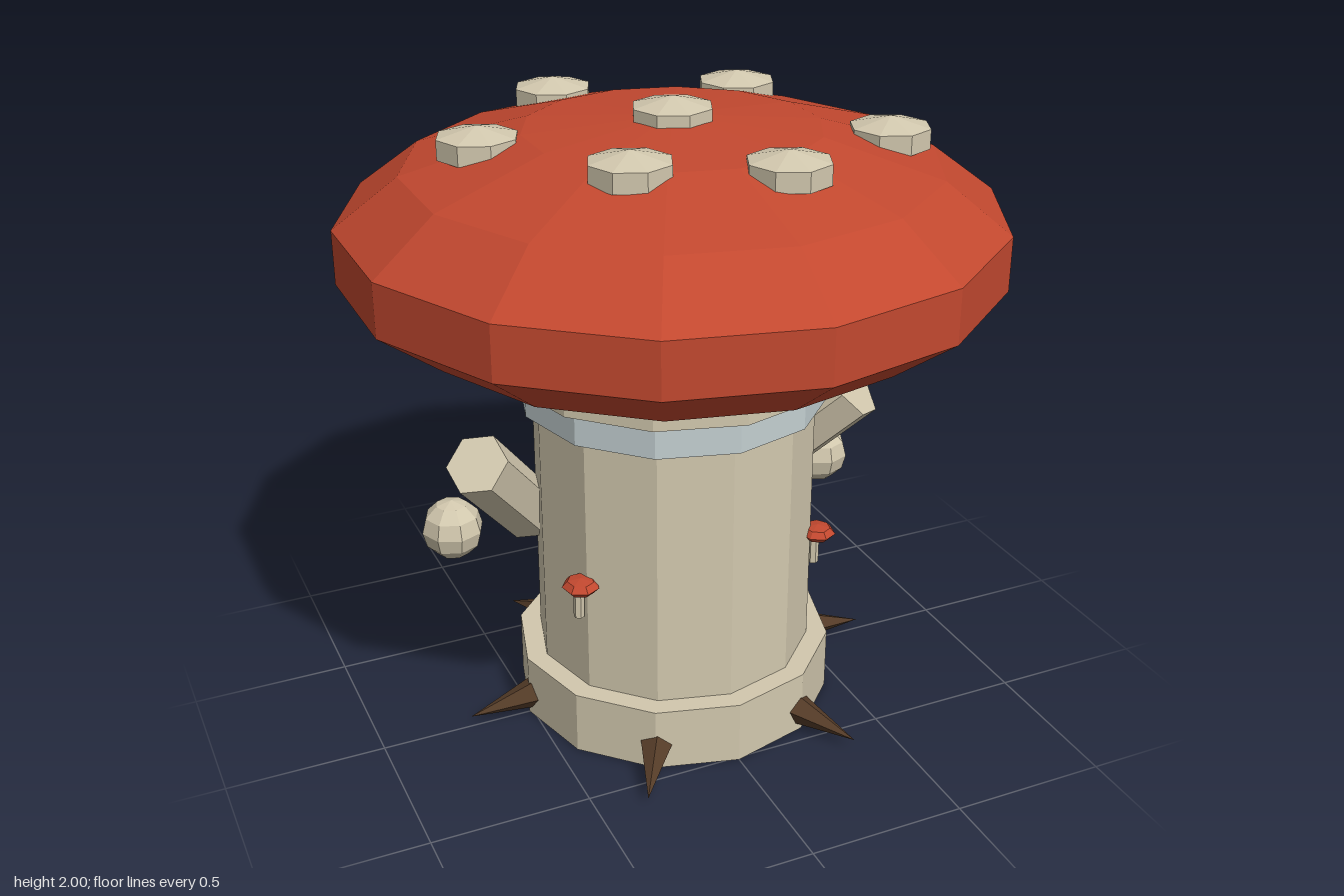
import * as THREE from 'three';

const mat = (name, color) => {
  const m = new THREE.MeshStandardMaterial({ color, flatShading: true });
  m.name = name;
  return m;
};

export function createModel() {
  const cream = mat('cream', 0xd2c8ae);
  const red = mat('cap red', 0xc2482f);
  const steel = mat('pale steel', 0xc3cfd1);
  const brown = mat('thorn brown', 0x553c28);
  const gold = mat('eye gold', 0xa0933c);
  const black = mat('dark navy', 0x1b1c28);

  const model = new THREE.Group();
  model.name = 'mushroomCreature';

  const add = (name, geo, material, x = 0, y = 0, z = 0) => {
    const mesh = new THREE.Mesh(geo, material);
    mesh.name = name;
    mesh.position.set(x, y, z);
    model.add(mesh);
    return mesh;
  };
  const drum = (name, r, y0, y1, material) =>
    add(name, new THREE.CylinderGeometry(r, r, y1 - y0, 12), material, 0, (y0 + y1) / 2, 0);
  const ball = (rx, ry, rz, w, h) =>
    new THREE.SphereGeometry(1, w, h).rotateY(Math.PI / 2).scale(rx, ry, rz);
  // Turns a mesh built along +y so that it runs from one point to another
  const aim = (mesh, from, to) => {
    mesh.position.copy(from).add(to).multiplyScalar(0.5);
    mesh.quaternion.setFromUnitVectors(new THREE.Vector3(0, 1, 0), to.clone().sub(from).normalize());
  };

  // Trunk, foot and neck rings
  drum('base', 0.512, 0, 0.205, cream);
  drum('trunk', 0.445, 0.1, 1.27, cream);
  drum('collar', 0.485, 1.065, 1.16, steel);
  drum('neckRing', 0.53, 1.175, 1.23, cream);
  add('collarTab', new THREE.BoxGeometry(0.12, 0.065, 0.06), steel, 0.18, 1.108, -0.457);

  // Cap
  add('cap', ball(1.026, 0.371, 1.026, 14, 7), red, 0, 1.573, 0);

  // Cap spots, sinking with distance from the middle
  const spots = [[0, 0], [-0.14, -0.62], [0.41, -0.415], [-0.55, -0.14],
    [-0.275, 0.335], [0.135, 0.475], [0.615, 0.2]];
  for (const [x, z] of spots) {
    add('capSpot', ball(0.142, 0.06, 0.142, 8, 3), cream, x, 1.94 - 0.19 * (x * x + z * z), z);
  }

  // Thorns round the foot
  for (let i = 0; i < 6; i++) {
    const a = (i * Math.PI) / 3;
    const at = (r, y) => new THREE.Vector3(r * Math.cos(a), y, r * Math.sin(a));
    const from = at(0.46, 0.077), to = at(0.71, 0.036);
    aim(add('thorn', new THREE.ConeGeometry(0.06, from.distanceTo(to), 5), brown), from, to);
  }

  for (const s of [-1, 1]) {
    // Arm and floating fist
    const low = new THREE.Vector3(s * 0.4, 0.61, -0.225);
    const high = new THREE.Vector3(s * 0.65, 0.945, 0.015);
    aim(add('arm', new THREE.CylinderGeometry(0.1, 0.1, low.distanceTo(high), 6), cream), low, high);
    add('fist', ball(0.1, 0.1, 0.1, 8, 6), cream, s * 0.665, 0.6, -0.24);

    // Small mushroom growing on the trunk
    add('sproutStem', new THREE.CylinderGeometry(0.017, 0.017, 0.12, 6), cream, s * 0.408, 0.52, 0.208);
    add('sproutCap', ball(0.058, 0.026, 0.062, 7, 4), red, s * 0.408, 0.58, 0.228);

    // Eye and slanted brow
    add('eye', ball(0.052, 0.05, 0.036, 8, 6), gold, s * 0.162, 0.89, -0.45);
    const brow = add('brow', new THREE.BoxGeometry(0.2, 0.036, 0.03), black, s * 0.163, 0.98, -0.465);
    brow.rotation.z = s * 0.28;
  }

  // Mouth
  add('mouth', new THREE.BoxGeometry(0.31, 0.075, 0.03), black, 0, 0.675, -0.45);

  return model;
}
